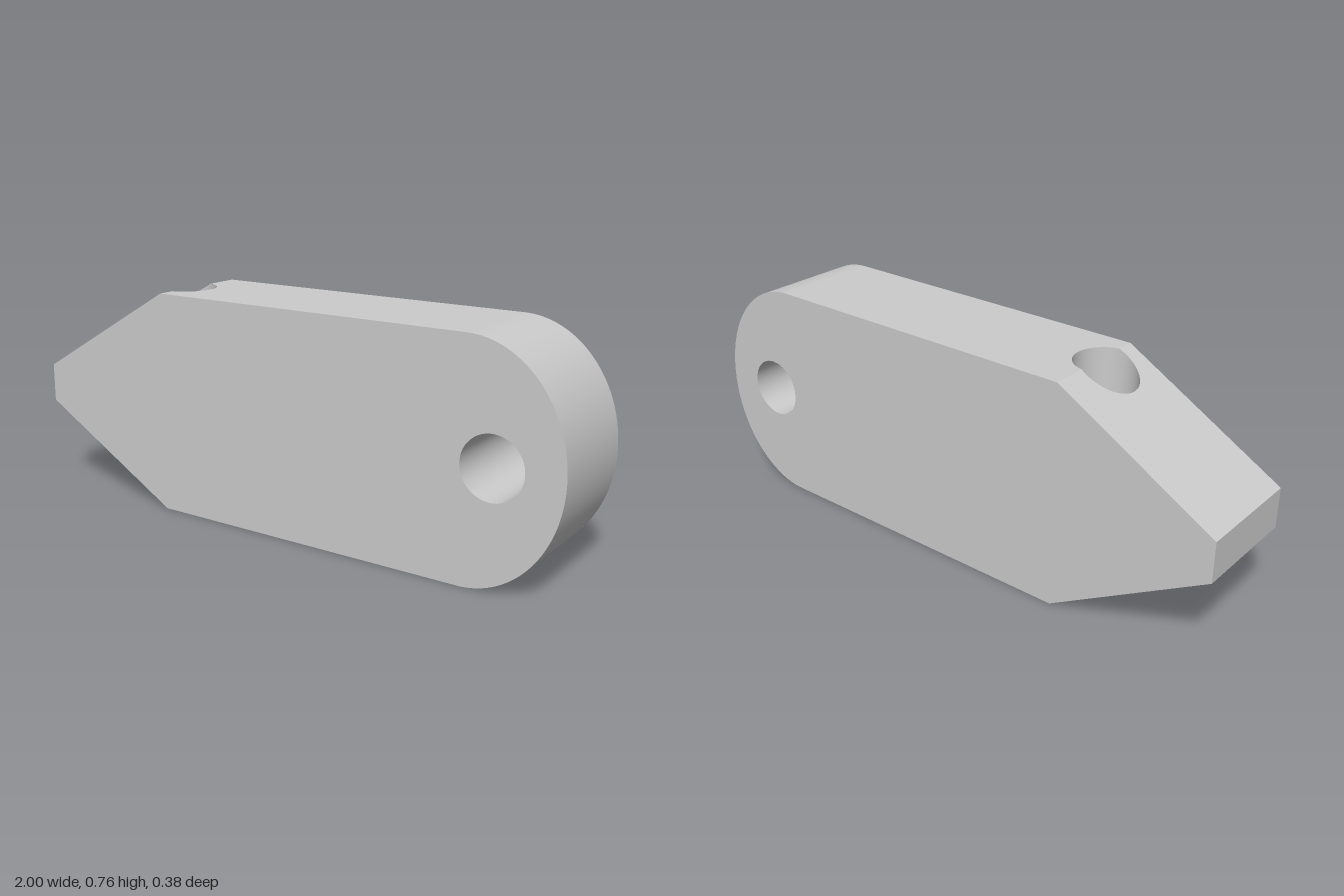
import * as THREE from 'three';

const MID = 0.38;              // height of the centre line, also half the full height
const HALF_Z = 0.19;           // half thickness
const TIP_X = -1, RIDGE_X = -0.46, ROUND_X = 0.68;
const TIP_H = 0.067;           // half height of the blunt tip
const HOLE_R = 0.102;
const PIN = { x: 0.775, y: MID };     // hole running front to back
const BORE = { x: -0.48, z: 0.03 };   // hole running top to bottom

// Half height of the body along x
const halfHeight = (x) =>
  x >= RIDGE_X ? MID : TIP_H + ((MID - TIP_H) * (x - TIP_X)) / (RIDGE_X - TIP_X);

const material = new THREE.MeshStandardMaterial({ color: 0xcccccc, side: THREE.DoubleSide });

function addPart(group, name, geometry) {
  const mesh = new THREE.Mesh(geometry, material);
  mesh.name = name;
  group.add(mesh);
  return mesh;
}

// Side outline with the pin hole
function plateGeometry() {
  const s = new THREE.Shape();
  s.moveTo(TIP_X, MID - TIP_H);
  s.lineTo(RIDGE_X, 0);
  s.lineTo(ROUND_X, 0);
  s.absellipse(ROUND_X, MID, 1 - ROUND_X, MID, -Math.PI / 2, Math.PI / 2, false, 0);
  s.lineTo(RIDGE_X, 2 * MID);
  s.lineTo(TIP_X, MID + TIP_H);
  s.closePath();
  const hole = new THREE.Path();
  hole.absarc(PIN.x, PIN.y, HOLE_R, 0, Math.PI * 2, true);
  s.holes.push(hole);
  return new THREE.ShapeGeometry(s, 48);
}

// Flat or sloped panel, notched where the bore crosses the ridge; sign +1 top, -1 bottom
function edgePanel(sign, sloped) {
  const b = -sign * BORE.z;
  const phi = Math.acos((RIDGE_X - BORE.x) / HOLE_R);
  const s = new THREE.Shape();
  if (sloped) {
    s.moveTo(RIDGE_X, HALF_Z);
    s.lineTo(TIP_X, HALF_Z);
    s.lineTo(TIP_X, -HALF_Z);
    s.lineTo(RIDGE_X, -HALF_Z);
    s.absarc(BORE.x, b, HOLE_R, 2 * Math.PI - phi, phi, true);
  } else {
    s.moveTo(RIDGE_X, -HALF_Z);
    s.lineTo(ROUND_X, -HALF_Z);
    s.lineTo(ROUND_X, HALF_Z);
    s.lineTo(RIDGE_X, HALF_Z);
    s.absarc(BORE.x, b, HOLE_R, phi, -phi, true);
  }
  s.closePath();
  const g = new THREE.ShapeGeometry(s, 32);
  g.rotateX((-sign * Math.PI) / 2);
  const p = g.attributes.position;
  for (let i = 0; i < p.count; i++) p.setY(i, MID + sign * halfHeight(p.getX(i)));
  g.computeVertexNormals();
  return g;
}

// Part of the bore wall, its ends trimmed to the body surface
function boreWall(start, length) {
  const g = new THREE.CylinderGeometry(HOLE_R, HOLE_R, 2, 32, 1, true, start, length);
  g.translate(BORE.x, 0, BORE.z);
  const p = g.attributes.position;
  for (let i = 0; i < p.count; i++) {
    p.setY(i, MID + Math.sign(p.getY(i)) * halfHeight(p.getX(i)));
  }
  return g;
}

export function createModel() {
  const model = new THREE.Group();
  model.name = 'pointedLink';

  // Front and back faces
  const plate = plateGeometry();
  addPart(model, 'frontFace', plate).position.z = HALF_Z;
  addPart(model, 'backFace', plate).position.z = -HALF_Z;

  // Top and bottom edges with their tapers
  for (const [sign, label] of [[1, 'top'], [-1, 'bottom']]) {
    addPart(model, label + 'Edge', edgePanel(sign, false));
    addPart(model, label + 'Taper', edgePanel(sign, true));
  }

  // Blunt tip
  const tip = new THREE.PlaneGeometry(2 * HALF_Z, 2 * TIP_H);
  tip.rotateY(-Math.PI / 2).translate(TIP_X, MID, 0);
  addPart(model, 'bluntTip', tip);

  // Elliptical end
  const end = new THREE.CylinderGeometry(1, 1, 2 * HALF_Z, 48, 1, true, 0, Math.PI);
  end.rotateX(Math.PI / 2).scale(1 - ROUND_X, MID, 1).translate(ROUND_X, MID, 0);
  addPart(model, 'roundedEnd', end);

  // Pin hole wall
  const pin = new THREE.CylinderGeometry(HOLE_R, HOLE_R, 2 * HALF_Z, 64, 1, true);
  pin.rotateX(Math.PI / 2).translate(PIN.x, PIN.y, 0);
  addPart(model, 'pinHole', pin);

  // Bore wall, split at the ridge
  const a = Math.asin((RIDGE_X - BORE.x) / HOLE_R);
  addPart(model, 'boreInner', boreWall(a, Math.PI - 2 * a));
  addPart(model, 'boreOuter', boreWall(Math.PI - a, Math.PI + 2 * a));

  return model;
}
